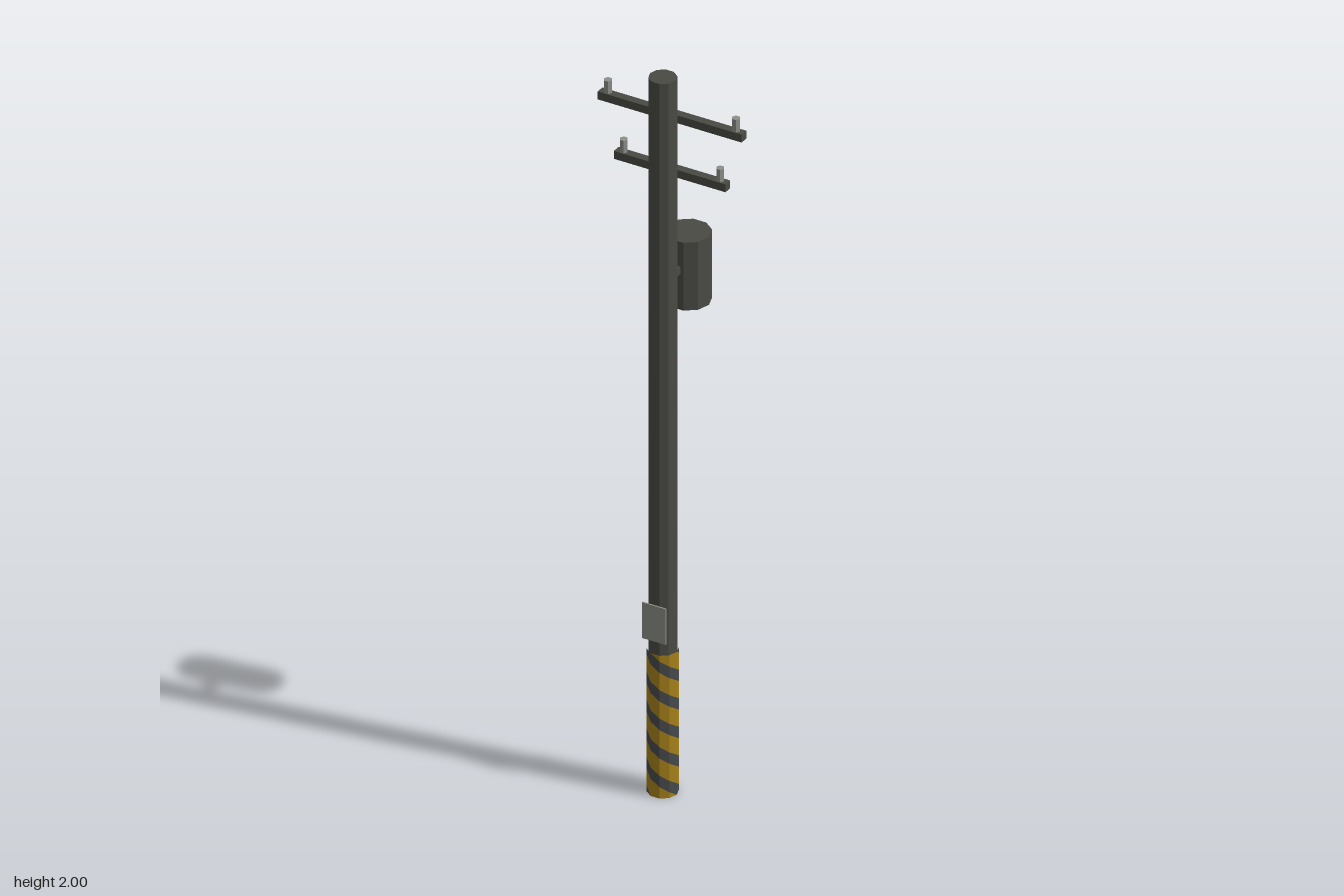
import * as THREE from 'three';

const POLE_Z = 0.065;
const SIDES = 10;

export function createModel() {
  const model = new THREE.Group();
  model.name = 'utilityPole';

  const mat = (name, color) => {
    const m = new THREE.MeshStandardMaterial({ color });
    m.name = name;
    return m;
  };
  const concrete = mat('dark grey concrete', 0x4a4a45);
  const paleGrey = mat('pale grey', 0x8e8e89);
  const yellow = mat('warning yellow', 0xa8821a);
  const stripeGrey = mat('stripe slate', 0x474a4c);
  yellow.side = stripeGrey.side = THREE.FrontSide;

  const add = (name, geometry, material, x = 0, y = 0, z = 0) => {
    const mesh = new THREE.Mesh(geometry, material);
    mesh.name = name;
    mesh.position.set(x, y, z);
    model.add(mesh);
    return mesh;
  };

  // Faceted upright cylinder with corners on the x axis
  const prism = (r, h, sides) =>
    new THREE.CylinderGeometry(r, r, h, sides).rotateY(Math.PI / 2).toNonIndexed();
  const faceted = (g) => {
    g.computeVertexNormals();
    return g;
  };

  // Main pole
  add('pole', faceted(prism(0.035, 2, SIDES)), concrete, 0, 1, POLE_Z);

  // Crossarms with their insulators
  const arms = [
    { name: 'upper', y: 1.87, half: 0.2, pegs: [-0.178, 0, 0.178] },
    { name: 'lower', y: 1.717, half: 0.155, pegs: [-0.134, 0.134] },
  ];
  for (const { name, y, half, pegs } of arms) {
    add(name + 'Crossarm', new THREE.BoxGeometry(half * 2, 0.022, 0.022), concrete, 0, y, 0.021);
    for (const x of pegs) {
      add(name + 'Insulator', faceted(prism(0.011, 0.036, 6)), paleGrey, x, y + 0.028, 0.021);
    }
  }

  // Transformer drum and its bracket
  add('transformer', faceted(prism(0.0575, 0.19, SIDES)), concrete, 0, 1.41, -0.057);
  add('transformerBracket', new THREE.BoxGeometry(0.02, 0.02, 0.04), concrete, 0, 1.425, 0.015);

  // Notice plate
  add('noticePlate', new THREE.BoxGeometry(0.066, 0.1, 0.004), paleGrey, 0, 0.49, 0.1065);

  // Warning sleeve: helical bands, one quad per band on each pole face
  const R = 0.039, H = 0.4, PITCH = 0.08, TURNS = 2, DARK = 0.4;
  const bands = (from, to) => {
    const pos = [];
    const corner = (i, y) => {
      const a = Math.PI / 2 + (i * Math.PI * 2) / SIDES;
      return [R * Math.sin(a), THREE.MathUtils.clamp(y, 0, H), R * Math.cos(a)];
    };
    const drop = (i) => (i / SIDES) * TURNS * PITCH;
    for (let i = 0; i < SIDES; i++) {
      for (let k = -1; k < H / PITCH + TURNS + 1; k++) {
        const lo = (k + from) * PITCH, hi = (k + to) * PITCH;
        if (hi - drop(i) <= 0 || lo - drop(i + 1) >= H) continue;
        const a = corner(i, lo - drop(i)), b = corner(i + 1, lo - drop(i + 1));
        const c = corner(i + 1, hi - drop(i + 1)), d = corner(i, hi - drop(i));
        pos.push(...a, ...b, ...c, ...a, ...c, ...d);
      }
    }
    const g = new THREE.BufferGeometry();
    g.setAttribute('position', new THREE.Float32BufferAttribute(pos, 3));
    g.computeVertexNormals();
    return g;
  };
  add('sleeveStripes', bands(0, DARK), stripeGrey, 0, 0, POLE_Z);
  add('sleeveYellow', bands(DARK, 1), yellow, 0, 0, POLE_Z);

  // Sleeve underside
  const base = new THREE.CircleGeometry(R, SIDES).rotateX(Math.PI / 2);
  add('sleeveBase', base, concrete, 0, 0, POLE_Z);

  return model;
}
